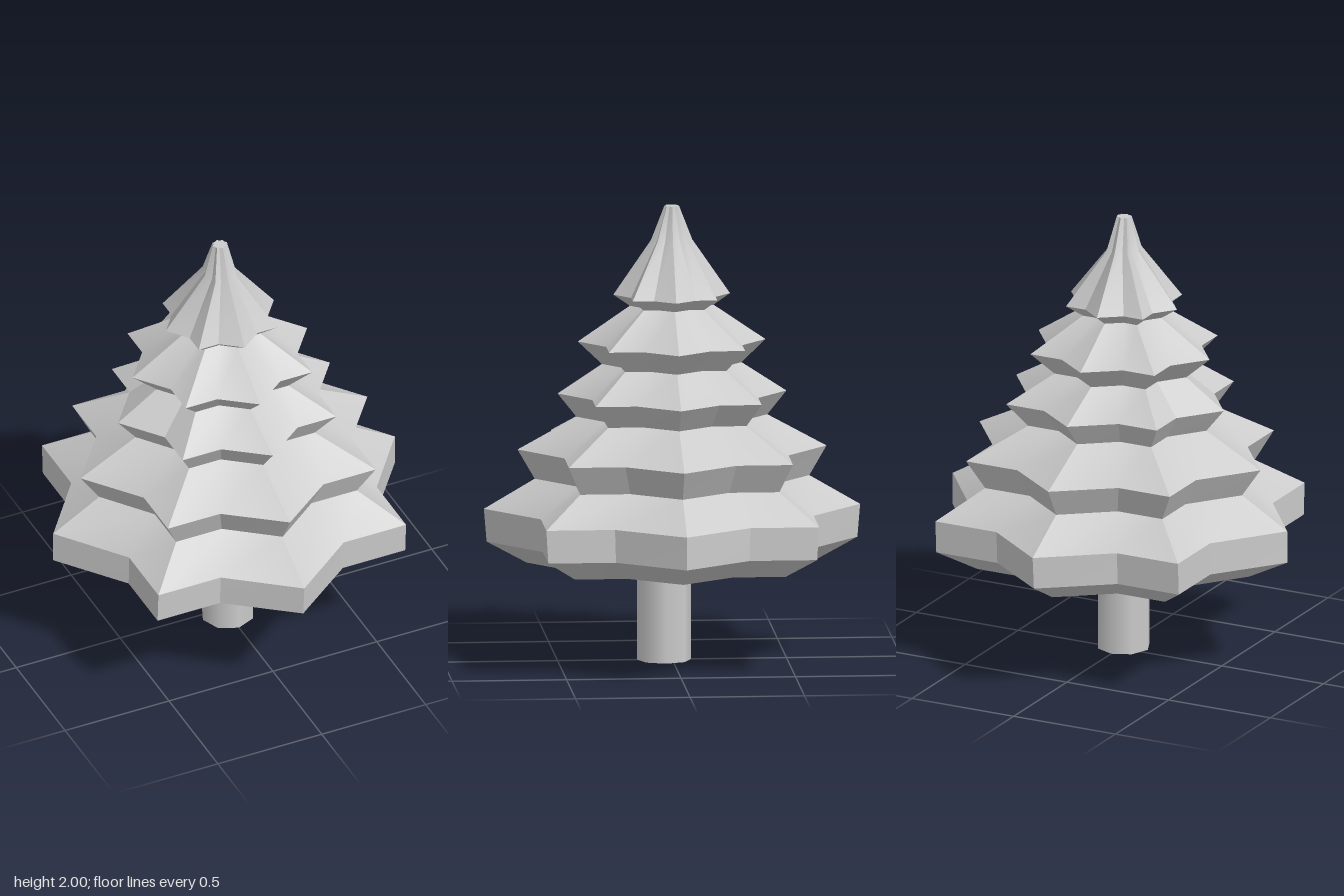
import * as THREE from 'three';
import { toCreasedNormals } from 'three/addons/utils/BufferGeometryUtils.js';

// Stacked rings of the foliage: [height, half width x, half depth z, centre x]
const RINGS = [
  [0.435, 0.635, 0.635, 0],
  [0.53, 0.822, 0.81, 0],
  [0.675, 0.822, 0.822, 0],
  [0.805, 0.6, 0.6, 0],
  [0.935, 0.69, 0.675, 0],
  [1.075, 0.417, 0.417, -0.008],
  [1.18, 0.51, 0.5, 0],
  [1.305, 0.308, 0.305, -0.017],
  [1.405, 0.42, 0.41, -0.02],
  [1.56, 0.183, 0.183, -0.02],
  [1.61, 0.26, 0.255, -0.02],
  [1.85, 0.072, 0.09, -0.02],
  [2.0, 0.034, 0.032, -0.02],
];

// Eight-pointed star of unit half width: four axis tips, four corner tips, valleys between
function starOutline() {
  const quarter = [[1, 0], [0.725, 0.36], [0.725, 0.725], [0.36, 0.725]];
  const pts = [];
  for (let q = 0; q < 4; q++) {
    for (const [a, b] of quarter) {
      pts.push([[a, b], [-b, a], [-a, -b], [b, -a]][q]);
    }
  }
  return pts;
}

// Loft the star through every ring and close both ends
function foliageGeometry() {
  const star = starOutline();
  const n = star.length;
  const pos = [];
  const index = [];
  for (const [y, rx, rz, cx] of RINGS) {
    for (const [x, z] of star) pos.push(cx + x * rx, y, z * rz);
  }
  for (let r = 0; r < RINGS.length - 1; r++) {
    for (let i = 0; i < n; i++) {
      const a = r * n + i;
      const b = r * n + (i + 1) % n;
      index.push(a, a + n, b, b, a + n, b + n);
    }
  }
  const last = RINGS.length - 1;
  const base = pos.length / 3;
  pos.push(RINGS[0][3], RINGS[0][0], 0, RINGS[last][3], RINGS[last][0], 0);
  for (let i = 0; i < n; i++) {
    const j = (i + 1) % n;
    index.push(base, i, j, base + 1, last * n + j, last * n + i);
  }
  const geo = new THREE.BufferGeometry();
  geo.setAttribute('position', new THREE.Float32BufferAttribute(pos, 3));
  geo.setIndex(index);
  return toCreasedNormals(geo, THREE.MathUtils.degToRad(25));
}

export function createModel() {
  const group = new THREE.Group();
  group.name = 'tree';

  // Tiered branches
  const foliage = new THREE.Mesh(
    foliageGeometry(),
    new THREE.MeshStandardMaterial({ color: 0xcccccc })
  );
  foliage.name = 'foliage';
  group.add(foliage);

  // Open eight-sided trunk, set slightly forward
  const trunk = new THREE.Mesh(
    new THREE.CylinderGeometry(0.118, 0.118, 0.45, 8, 1, true),
    new THREE.MeshStandardMaterial({ color: 0xcccccc, side: THREE.DoubleSide })
  );
  trunk.name = 'trunk';
  trunk.position.set(0, 0.225, 0.035);
  group.add(trunk);

  return group;
}
